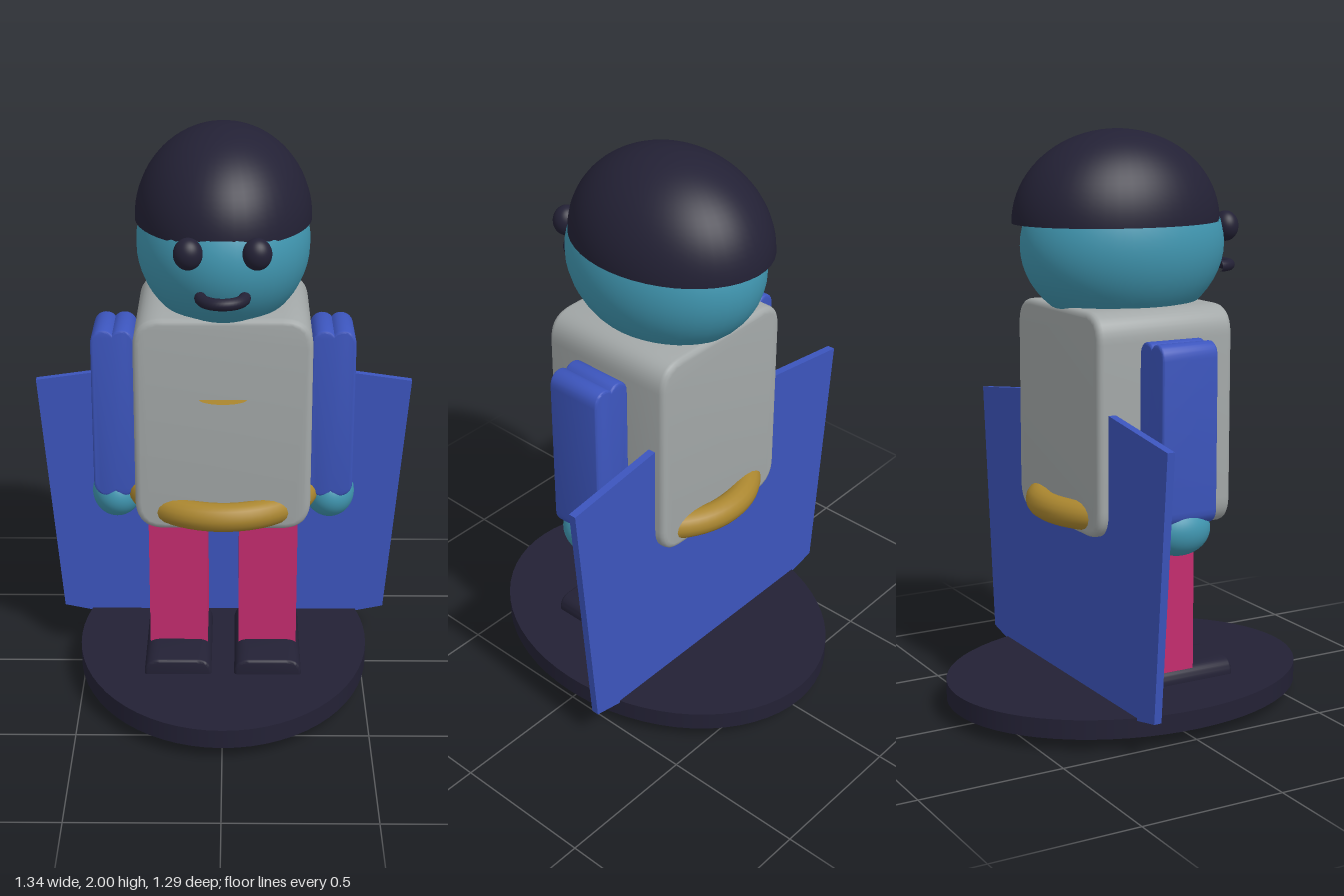
import * as THREE from 'three';
import { toCreasedNormals } from 'three/addons/utils/BufferGeometryUtils.js';

const paint = (name, color) => {
  const m = new THREE.MeshStandardMaterial({ color });
  m.name = name;
  return m;
};

// Rounded rectangle centred on the origin
function roundedRect(w, h, r) {
  const x = w / 2, y = h / 2, s = new THREE.Shape();
  s.moveTo(-x, -y + r);
  s.lineTo(-x, y - r);
  s.quadraticCurveTo(-x, y, -x + r, y);
  s.lineTo(x - r, y);
  s.quadraticCurveTo(x, y, x, y - r);
  s.lineTo(x, -y + r);
  s.quadraticCurveTo(x, -y, x - r, -y);
  s.lineTo(-x + r, -y);
  s.quadraticCurveTo(-x, -y, -x, -y + r);
  return s;
}

// Arm profile: two shallow lobes at each end
function armShape(w, h) {
  const x = w / 2, y = h / 2, s = new THREE.Shape();
  s.moveTo(-x, -y + 0.05);
  s.lineTo(-x, y - 0.05);
  s.bezierCurveTo(-x, y + 0.008, -0.018, y + 0.012, 0, y - 0.014);
  s.bezierCurveTo(0.018, y + 0.012, x, y + 0.008, x, y - 0.05);
  s.lineTo(x, -y + 0.05);
  s.bezierCurveTo(x, -y - 0.008, 0.018, -y - 0.012, 0, -y + 0.014);
  s.bezierCurveTo(-0.018, -y - 0.012, -x, -y - 0.008, -x, -y + 0.05);
  return s;
}

// Extrusion centred in z, with its bevel kept inside the outline
function slab(shape, depth, bevel = 0) {
  const g = new THREE.ExtrudeGeometry(shape, {
    depth: depth - 2 * bevel, bevelEnabled: bevel > 0, bevelThickness: bevel,
    bevelSize: bevel, bevelOffset: -bevel, bevelSegments: 3, curveSegments: 10,
  });
  g.translate(0, 0, -depth / 2 + bevel);
  return toCreasedNormals(g, 0.6);
}

const ellipsoid = (rx, ry, rz) => new THREE.SphereGeometry(1, 40, 28).scale(rx, ry, rz);

export function createModel() {
  const dark = paint('dark navy', 0x232135);
  const teal = paint('teal skin', 0x4096b0);
  const grey = paint('grey cloth', 0xa3a8a8);
  const blue = paint('blue cloth', 0x3c55bd);
  const pink = paint('magenta trousers', 0xc42c6e);
  const gold = paint('gold', 0xaa862f);
  const goldFlat = paint('gold emblem', 0xaa862f);
  goldFlat.side = THREE.DoubleSide;

  const model = new THREE.Group();
  model.name = 'figurine';
  const add = (name, geometry, material, x = 0, y = 0, z = 0) => {
    const mesh = new THREE.Mesh(geometry, material);
    mesh.name = name;
    mesh.position.set(x, y, z);
    model.add(mesh);
    return mesh;
  };

  // Oval stand
  add('base', new THREE.CylinderGeometry(0.516, 0.516, 0.067, 64).scale(1, 1, 1.25), dark, 0, 0.0825);

  // Torso, belt ring and flat chest emblem
  add('torso', slab(roundedRect(0.592, 0.755, 0.1), 0.512, 0.02), grey, 0, 1.0425);
  add('belt', new THREE.TorusGeometry(0.29, 0.049, 16, 64).rotateX(Math.PI / 2), gold, 0, 0.728);
  add('emblem', new THREE.CircleGeometry(0.08, 32).rotateX(-Math.PI / 2).scale(1, 1, 0.6), goldFlat, 0, 1.14, 0.25);

  // Cape plate
  const cape = new THREE.Shape([
    [0, 0.005], [0.595, 0.13], [0.67, 1.035], [0, 1.13], [-0.67, 1.035], [-0.595, 0.13],
  ].map(([x, y]) => new THREE.Vector2(x, y)));
  add('cape', slab(cape, 0.027), blue, 0, 0, -0.207);

  // Limbs, mirrored
  for (const [side, s] of [['left', 1], ['right', -1]]) {
    add(side + 'Leg', new THREE.BoxGeometry(0.204, 0.66, 0.264), pink, s * 0.157, 0.378);
    add(side + 'Foot', slab(roundedRect(0.234, 0.11, 0.052), 0.41, 0.01), dark, s * 0.157, 0.115, 0.08);
    add(side + 'Arm', slab(armShape(0.15, 0.604), 0.208, 0.008), blue, s * 0.372, 1.024);
    add(side + 'Hand', ellipsoid(0.088, 0.09, 0.113), teal, s * 0.372, 0.7);
    add(side + 'Eye', ellipsoid(0.047, 0.052, 0.043), dark, s * 0.109, 1.668, 0.343);
  }

  // Head, half-dome hair and curved mouth
  add('head', ellipsoid(0.29, 0.29, 0.363), teal, 0, 1.615);
  add('hair', new THREE.SphereGeometry(1, 48, 20, 0, Math.PI * 2, 0, Math.PI / 2).scale(0.295, 0.31, 0.368),
    dark, 0, 1.69, -0.024);
  add('mouth', new THREE.TorusGeometry(0.07, 0.02, 12, 24, Math.PI).rotateX(Math.PI / 2), dark, 0, 1.525, 0.347);

  return model;
}
